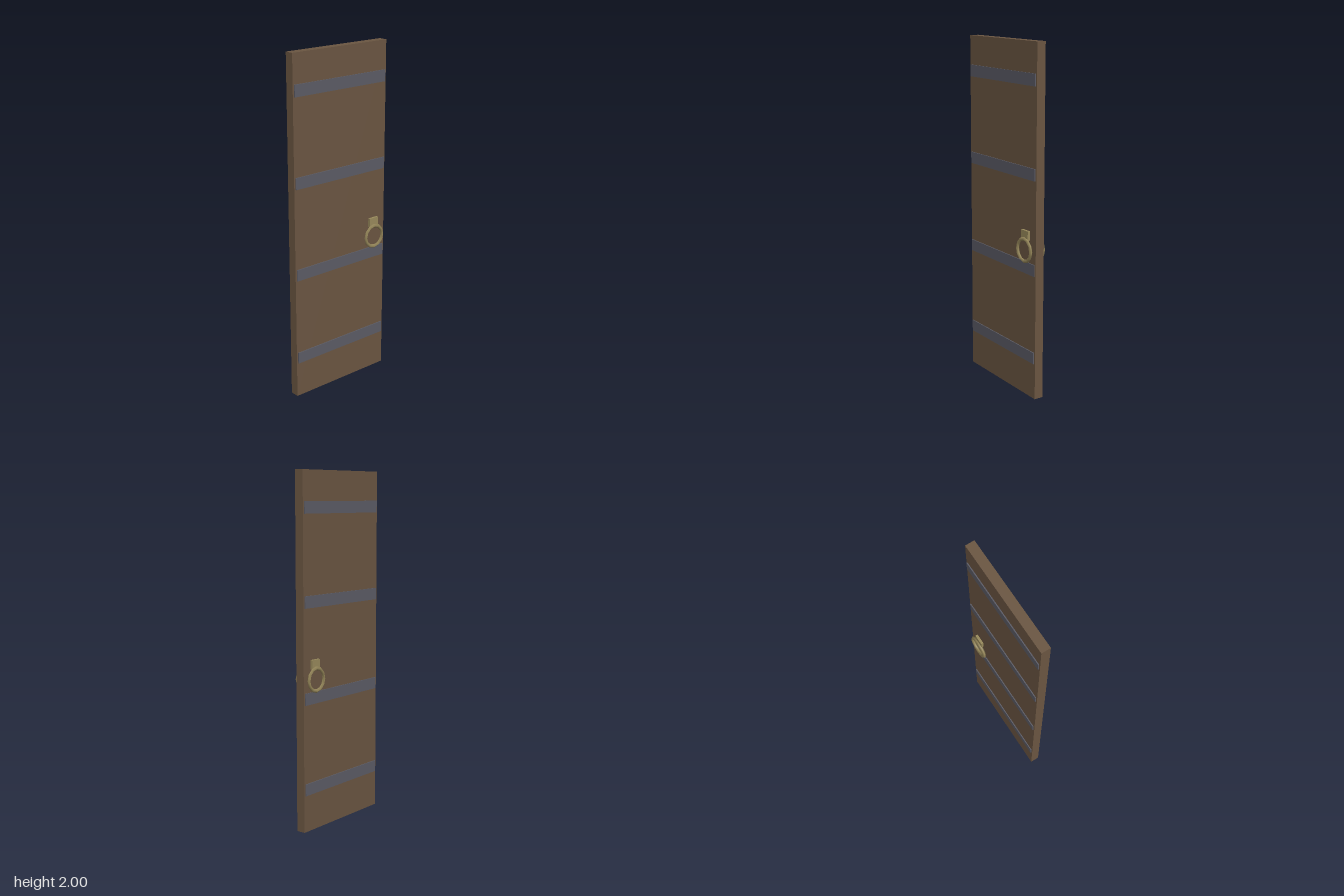
import * as THREE from 'three';

const wood = new THREE.MeshStandardMaterial({ color: 0x6b5642 });
const iron = new THREE.MeshStandardMaterial({ color: 0x5c5c66 });
const brass = new THREE.MeshStandardMaterial({ color: 0x998a5c });

function addMesh(parent, name, geometry, material, x, y, z) {
  const mesh = new THREE.Mesh(geometry, material);
  mesh.name = name;
  mesh.position.set(x, y, z);
  parent.add(mesh);
  return mesh;
}

export function createModel() {
  const door = new THREE.Group();
  door.name = 'door';

  // Wooden slab
  addMesh(door, 'slab', new THREE.BoxGeometry(0.666, 2, 0.0533), wood, 0, 1, 0);

  // Iron straps, proud of both faces
  const strap = new THREE.BoxGeometry(0.648, 0.067, 0.065);
  [0.244, 0.757, 1.292, 1.8].forEach((y, i) =>
    addMesh(door, `strap${i + 1}`, strap, iron, 0, y, 0));

  // Ring pull with its mount on each face
  const mount = new THREE.BoxGeometry(0.064, 0.053, 0.016);
  const ring = new THREE.TorusGeometry(0.064, 0.0107, 4, 12);
  for (const side of [1, -1]) {
    const handle = new THREE.Group();
    handle.name = side > 0 ? 'frontHandle' : 'backHandle';
    handle.position.x = 0.244;
    addMesh(handle, 'mount', mount, brass, 0, 0.9455, side * 0.033);
    addMesh(handle, 'ring', ring, brass, 0, 0.86, side * 0.0427);
    door.add(handle);
  }
  return door;
}
